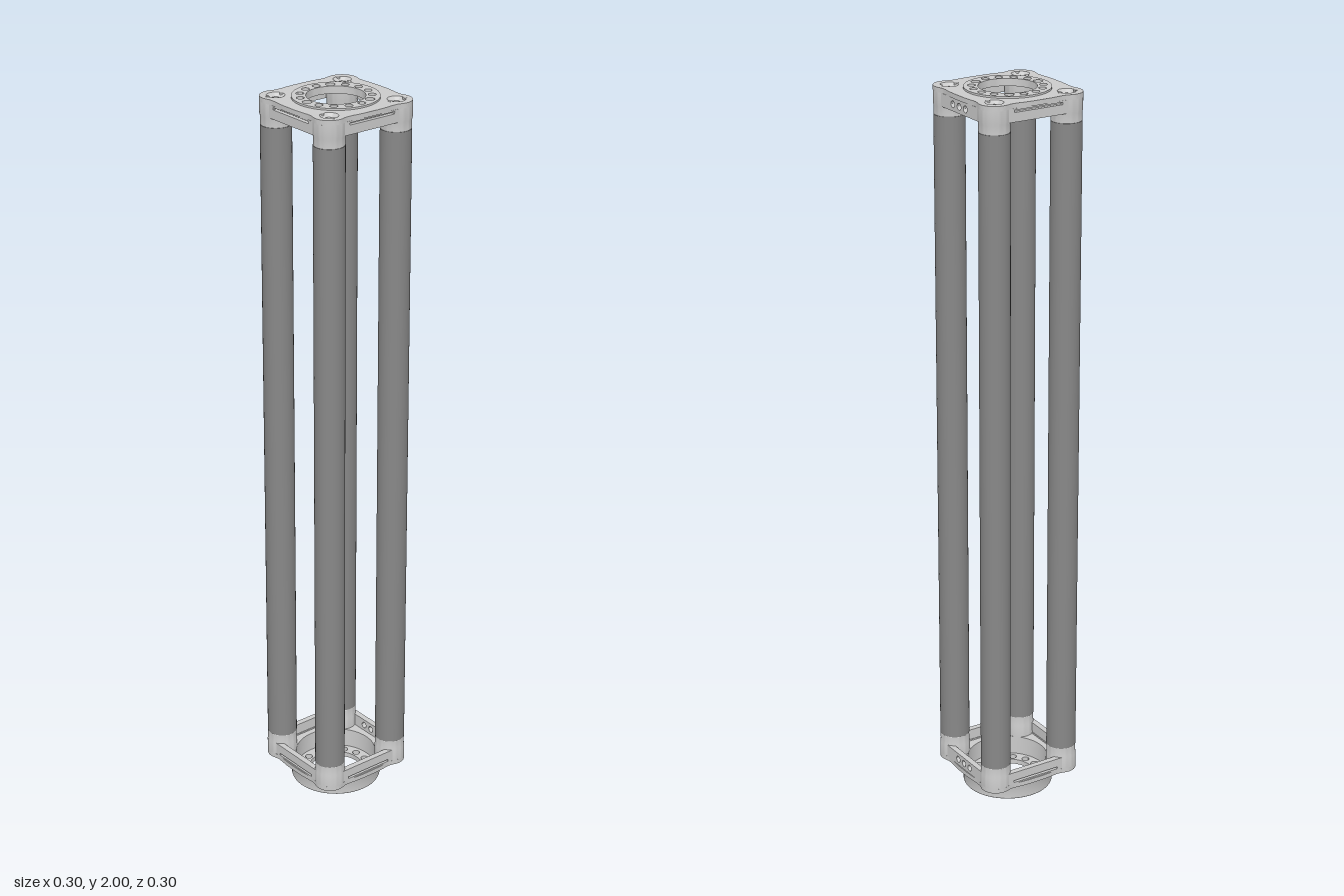
import * as THREE from 'three';
import { toCreasedNormals } from 'three/addons/utils/BufferGeometryUtils.js';

const grey = new THREE.MeshStandardMaterial({ color: 0xcccccc, side: THREE.DoubleSide });
const dark = new THREE.MeshStandardMaterial({ color: 0x888888 });
const C = 0.108;      // corner post centre
const R = 0.042;      // corner radius
const corners = [[C, C], [-C, C], [-C, -C], [C, -C]];

function add(parent, name, geometry, material = grey) {
  const mesh = new THREE.Mesh(geometry, material);
  mesh.name = name;
  parent.add(mesh);
  return mesh;
}

function circle(x, y, r) {
  return new THREE.Path().absarc(x, y, r, 0, Math.PI * 2, true);
}

function extrude(shape, depth) {
  const g = new THREE.ExtrudeGeometry(shape, { depth, bevelEnabled: false, curveSegments: 24 });
  return toCreasedNormals(g, 0.6);
}

// Extrusion that rises along +y from y0
function slab(shape, y0, y1) {
  return extrude(shape, y1 - y0).rotateX(-Math.PI / 2).translate(0, y0, 0);
}

function lathe(points, segments = 64) {
  const g = new THREE.LatheGeometry(points.map(p => new THREE.Vector2(...p)), segments);
  return toCreasedNormals(g, 0.5);
}

// Square outline with lobed corners and slightly waisted sides
function plateOutline() {
  const pts = [];
  const waist = [[0.082, 0.1442], [0.066, 0.1442], [0.045, 0.1467], [0.02, 0.148]];
  const side = [...waist, ...waist.map(([x, y]) => [-x, y]).reverse()];
  for (let k = 0; k < 4; k++) {
    const c = Math.cos(k * Math.PI / 2), s = Math.sin(k * Math.PI / 2);
    const put = (x, y) => pts.push(new THREE.Vector2(x * c - y * s, x * s + y * c));
    for (let i = 0; i <= 16; i++) {
      const a = (-15 + i * 120 / 16) * Math.PI / 180;
      put(C + R * Math.cos(a), C + R * Math.sin(a));
    }
    side.forEach(p => put(...p));
  }
  return new THREE.Shape(pts);
}

// Ring pierced by fifteen holes, every fifth one larger
function boltRing(inner, outer) {
  const ring = new THREE.Shape().absarc(0, 0, outer, 0, Math.PI * 2, false);
  ring.holes.push(circle(0, 0, inner));
  for (let i = 0; i < 15; i++) {
    const a = -Math.PI / 2 + i * Math.PI * 2 / 15;
    ring.holes.push(circle(0.092 * Math.cos(a), 0.092 * Math.sin(a), i % 5 ? 0.0103 : 0.0123));
  }
  return ring;
}

// Side beam: three round holes at the back, a long slot elsewhere
function beam(parent, k) {
  const w = 0.09, y0 = 0.013, y1 = 0.048;
  const shape = new THREE.Shape([[-w, y0], [w, y0], [w, y1], [-w, y1]].map(p => new THREE.Vector2(...p)));
  const group = new THREE.Group();
  group.name = 'sideBeam';
  group.rotation.y = k * Math.PI / 2;
  if (k === 2) {
    [-0.03, 0, 0.03].forEach(x => shape.holes.push(circle(x, 0.03, 0.009)));
  } else {
    const slot = [[-0.072, 0.017], [-0.072, 0.023], [0.072, 0.023], [0.072, 0.017]];
    shape.holes.push(new THREE.Path(slot.map(p => new THREE.Vector2(...p))));
    add(group, 'slotBack', new THREE.BoxGeometry(0.15, 0.012, 0.004).translate(0, 0.02, 0.132));
  }
  add(group, 'beamWall', extrude(shape, 0.0165).translate(0, 0, 0.1285));
  parent.add(group);
}

// End frame with its outer face at y = 0, opening upwards
function endFrame(name) {
  const frame = new THREE.Group();
  frame.name = name;
  const plate = plateOutline();
  plate.holes.push(circle(0, 0, 0.113));
  corners.forEach(([x, y]) => plate.holes.push(circle(x, y, 0.024)));
  add(frame, 'plate', slab(plate, 0, 0.013));
  for (let k = 0; k < 4; k++) beam(frame, k);

  const socket = lathe([[0, 0.013], [R, 0.013], [R, 0.045], [0.0405, 0.052], [0.0405, 0.074], [0.0385, 0.077], [0, 0.077]], 40);
  const sink = lathe([[0.024, 0], [0.012, 0.011], [0.012, 0.0125]], 32);
  const bolt = new THREE.CylinderGeometry(0.0105, 0.0105, 0.006, 6).translate(0, 0.0105, 0);
  corners.forEach(([x, z]) => {
    add(frame, 'cornerSocket', socket).position.set(x, 0, z);
    add(frame, 'countersink', sink).position.set(x, 0, z);
    add(frame, 'cornerBolt', bolt).position.set(x, 0, z);
  });
  return frame;
}

export function createModel() {
  const model = new THREE.Group();
  model.name = 'columnFrame';

  // Bottom frame with its round mounting flange
  const bottom = endFrame('bottomFrame');
  bottom.position.y = 0.055;
  model.add(bottom);
  const flange = new THREE.Group();
  flange.name = 'mountingFlange';
  add(flange, 'flangeRing', slab(boltRing(0.076, 0.124), 0, 0.014));
  add(flange, 'flangeWall', lathe([[0.112, 0.014], [0.112, 0.068], [0.113, 0.068], [0.1285, 0.055],
    [0.1285, 0.05], [0.125, 0.043], [0.125, 0.003], [0.123, 0]]));
  model.add(flange);

  // Top frame, turned over, with a raised bolt ring
  const top = endFrame('topFrame');
  top.rotation.z = Math.PI;
  top.position.y = 1.995;
  model.add(top);
  add(model, 'topRing', slab(boltRing(0.076, 0.113), 1.98, 2));

  // Small locating pins beside each top countersink
  const pin = new THREE.CylinderGeometry(0.006, 0.006, 0.006, 20);
  corners.forEach(([x, z], i) => {
    for (const d of [-0.024, 0.024]) {
      const alongX = i % 2 === 0;
      add(model, 'locatingPin', pin).position.set(
        x + (alongX ? d : Math.sign(x) * 0.005), 1.9925, z + (alongX ? Math.sign(z) * 0.005 : d));
    }
  });

  // Four long corner tubes
  const tube = new THREE.CylinderGeometry(0.041, 0.041, 1.79, 48);
  corners.forEach(([x, z]) => add(model, 'cornerTube', tube, dark).position.set(x, 1.025, z));
  return model;
}
